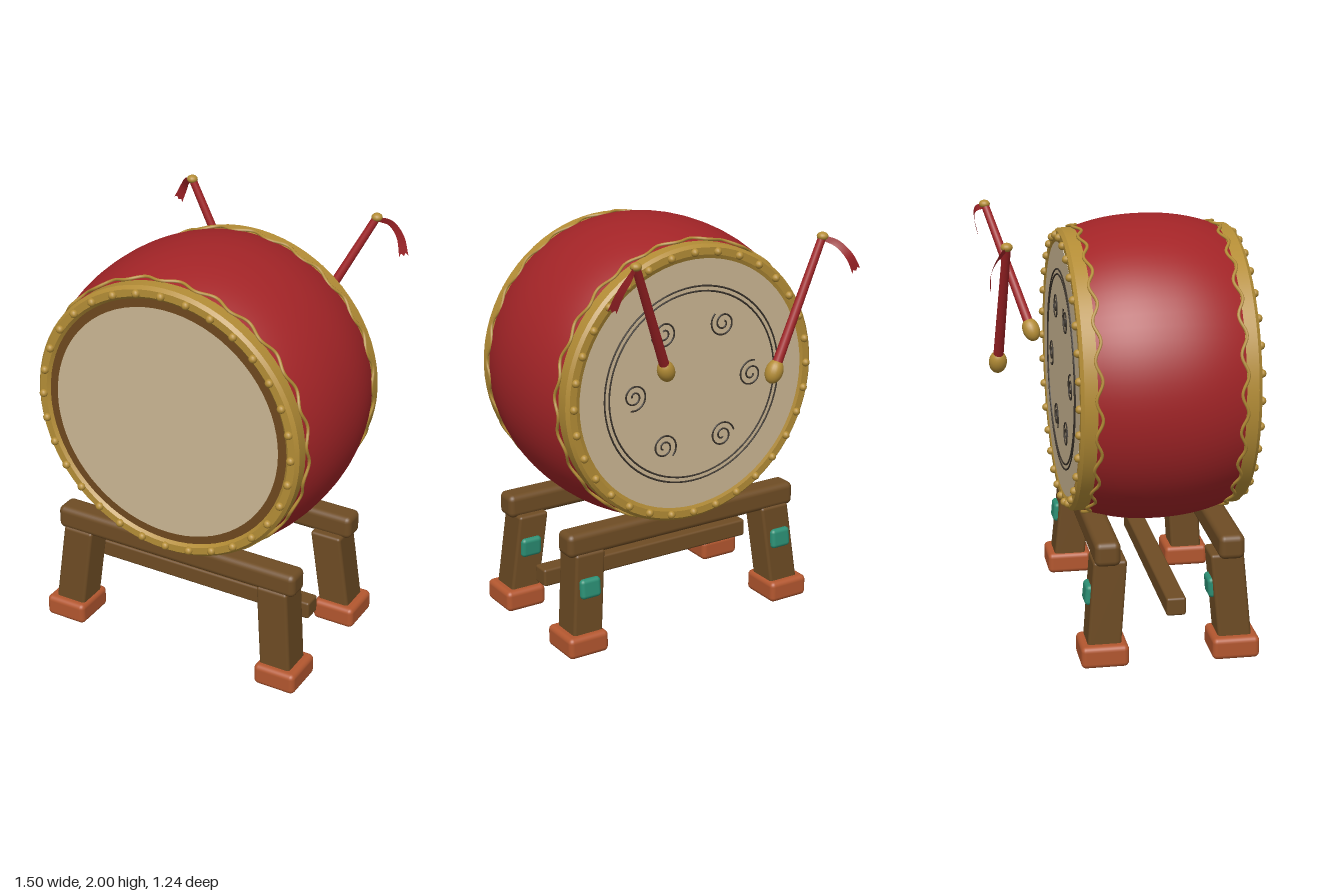
import * as THREE from 'three';
import { RoundedBoxGeometry } from 'three/addons/geometries/RoundedBoxGeometry.js';

const paint = (name, color) => Object.assign(new THREE.MeshStandardMaterial({ color }), { name });
const V = (x, y, z) => new THREE.Vector3(x, y, z);

export function createModel() {
  const red = paint('red lacquer', 0xa32427);
  const gold = paint('gold', 0xb48d36);
  const skin = paint('drum skin', 0xcbb693);
  const wood = paint('brown wood', 0x6e4c24);
  const trim = paint('dark trim', 0x6e481e);
  const clay = paint('orange feet', 0xb3572f);
  const jade = paint('jade', 0x2b8f74);
  const ink = paint('ink', 0x3b342c);
  const silk = paint('red ribbon', 0x9c2226);
  silk.side = THREE.DoubleSide;

  const model = new THREE.Group();
  const add = (parent, name, geometry, material, pos = [0, 0, 0]) => {
    const mesh = new THREE.Mesh(geometry, material);
    mesh.name = name;
    mesh.position.set(...pos);
    parent.add(mesh);
    return mesh;
  };

  // Drum, its axis along z
  const drum = new THREE.Group();
  drum.name = 'drum';
  drum.position.y = 1.262;
  drum.scale.y = 0.983;
  model.add(drum);
  // profile points are [radius, z], running from back to front on the outside
  const turn = (name, profile, material) => {
    const pts = profile.map(p => new THREE.Vector2(...p));
    return add(drum, name, new THREE.LatheGeometry(pts, 72).rotateX(Math.PI / 2), material);
  };
  const barrel = [];
  for (let i = 0; i <= 20; i++) {
    const t = i / 10 - 1;
    barrel.push([0.688 + 0.06 * (1 - Math.pow(Math.abs(t), 2.2)), 0.183 + 0.345 * t]);
  }
  turn('barrel', barrel, red);

  // Hoops, each band given separately so its edges stay crisp
  const hoop = (name, pts) => {
    for (let i = 0; i < pts.length - 1; i++) turn(name, [pts[i], pts[i + 1]], gold);
  };
  hoop('frontHoop', [[0.66, 0.522], [0.69, 0.522], [0.69, 0.58], [0.675, 0.597], [0.64, 0.597], [0.625, 0.582]]);
  hoop('backHoop', [[0.61, -0.22], [0.64, -0.233], [0.675, -0.233], [0.69, -0.218], [0.69, -0.157], [0.66, -0.157]]);

  // Skins and the dark ring round the front one
  turn('frontTrim', [[0.63, 0.583], [0.58, 0.583]], trim);
  turn('frontSkin', [[0.585, 0.585], [0, 0.585]], skin);
  turn('backSkin', [[0, -0.23], [0.622, -0.23]], skin);

  // Studs and the wavy vines beside the hoops
  const studGeo = new THREE.SphereGeometry(0.02, 12, 8);
  for (const z of [0.6, -0.236]) {
    for (let i = 0; i < 32; i++) {
      const a = i / 32 * Math.PI * 2;
      add(drum, 'stud', studGeo, gold, [0.655 * Math.sin(a), 0.655 * Math.cos(a), z]);
    }
  }
  for (const z of [0.515, -0.15]) {
    const pts = [];
    for (let i = 0; i < 192; i++) {
      const a = i / 192 * Math.PI * 2;
      pts.push(V(0.699 * Math.cos(a), 0.699 * Math.sin(a), z + 0.015 * Math.sin(24 * a)));
    }
    add(drum, 'vine', new THREE.TubeGeometry(new THREE.CatmullRomCurve3(pts, true), 384, 0.008, 6, true), gold);
  }

  // Ink rings and spirals on the back skin
  for (const r of [0.465, 0.49]) {
    add(drum, 'inkRing', new THREE.TorusGeometry(r, 0.0045, 6, 72), ink, [0, 0, -0.231]);
  }
  const spiral = [];
  for (let i = 0; i <= 30; i++) {
    const a = i / 30 * Math.PI * 3.6, r = 0.012 + 0.058 * i / 30;
    spiral.push(V(r * Math.cos(a), r * Math.sin(a), 0));
  }
  const spiralGeo = new THREE.TubeGeometry(new THREE.CatmullRomCurve3(spiral), 60, 0.0045, 6);
  for (let i = 0; i < 6; i++) {
    const a = i * Math.PI / 3;
    add(drum, 'inkSpiral', spiralGeo, ink, [0.33 * Math.cos(a), 0.33 * Math.sin(a), -0.231]).rotation.z = a;
  }

  // Stand
  const stand = new THREE.Group();
  stand.name = 'stand';
  model.add(stand);
  const block = (w, h, d, r) => new RoundedBoxGeometry(w, h, d, 3, r);
  for (const f of [1, -1]) {
    add(stand, 'topBeam', block(1.305, 0.12, 0.122, 0.03), wood, [0, 0.549, 0.188 + f * 0.293]);
    for (const s of [1, -1]) {
      // legs splay outwards towards the floor
      const leg = block(0.16, 0.42, 0.16, 0.015);
      const p = leg.attributes.position;
      for (let i = 0; i < p.count; i++) {
        const y = p.getY(i);
        p.setX(i, p.getX(i) - s * 0.1 * y);
        p.setZ(i, p.getZ(i) - f * 0.085 * y);
      }
      add(stand, 'leg', leg, wood, [s * 0.558, 0.295, 0.188 + f * 0.295]);
      add(stand, 'foot', block(0.216, 0.108, 0.226, 0.025), clay, [s * 0.589, 0.056, 0.188 + f * 0.312]);
      const badge = add(stand, 'jadeBadge', block(0.11, 0.1, 0.045, 0.02), jade,
        [s * 0.556, 0.335, 0.188 + f * 0.292 - 0.08]);
      badge.rotation.x = -f * 0.085;
    }
  }
  add(stand, 'crossbar', block(1.2, 0.09, 0.094, 0.012), wood, [0, 0.248, 0.228]);

  // Drumsticks with ball heads, end caps and ribbons
  const drumstick = (top, tip, ribbonPath) => {
    const stick = new THREE.Group();
    stick.name = 'drumstick';
    model.add(stick);
    const dir = top.clone().sub(tip), turnTo = new THREE.Quaternion();
    turnTo.setFromUnitVectors(V(0, 1, 0), dir.clone().normalize());
    const mid = top.clone().add(tip).multiplyScalar(0.5);
    add(stick, 'handle', new THREE.CylinderGeometry(0.019, 0.024, dir.length(), 16), red, mid.toArray())
      .quaternion.copy(turnTo);
    add(stick, 'head', new THREE.SphereGeometry(0.042, 20, 14).scale(1, 1.4, 1), gold, tip.toArray())
      .quaternion.copy(turnTo);
    add(stick, 'cap', new THREE.SphereGeometry(0.027, 16, 12).scale(1, 0.75, 1), gold, top.toArray());

    // ribbon: a strip swept along the path, widening to a notched end
    const curve = new THREE.CatmullRomCurve3(ribbonPath), n = 16;
    const ribbon = new THREE.PlaneGeometry(1, 1, 4, n), p = ribbon.attributes.position;
    for (let i = 0; i < p.count; i++) {
      const row = Math.floor(i / 5), col = i % 5, t = row / n;
      const notch = row === n && col % 2 ? 0.05 : 0;
      const c = curve.getPoint(t - notch), d = curve.getTangent(t);
      const side = V(-d.y, d.x, 0).normalize().multiplyScalar((col / 4 - 0.5) * (0.025 + 0.025 * t));
      p.setXYZ(i, c.x + side.x, c.y + side.y, c.z);
    }
    ribbon.computeVertexNormals();
    add(stick, 'ribbon', ribbon, silk);
  };
  drumstick(V(0.505, 1.979, -0.535), V(0.228, 1.405, -0.345),
    [V(0.51, 1.97, -0.535), V(0.56, 1.945, -0.575), V(0.61, 1.885, -0.578), V(0.642, 1.8, -0.558)]);
  drumstick(V(-0.505, 1.979, -0.535), V(-0.23, 1.38, -0.556),
    [V(-0.51, 1.97, -0.535), V(-0.56, 1.945, -0.575), V(-0.605, 1.885, -0.615), V(-0.64, 1.815, -0.622)]);

  return model;
}
